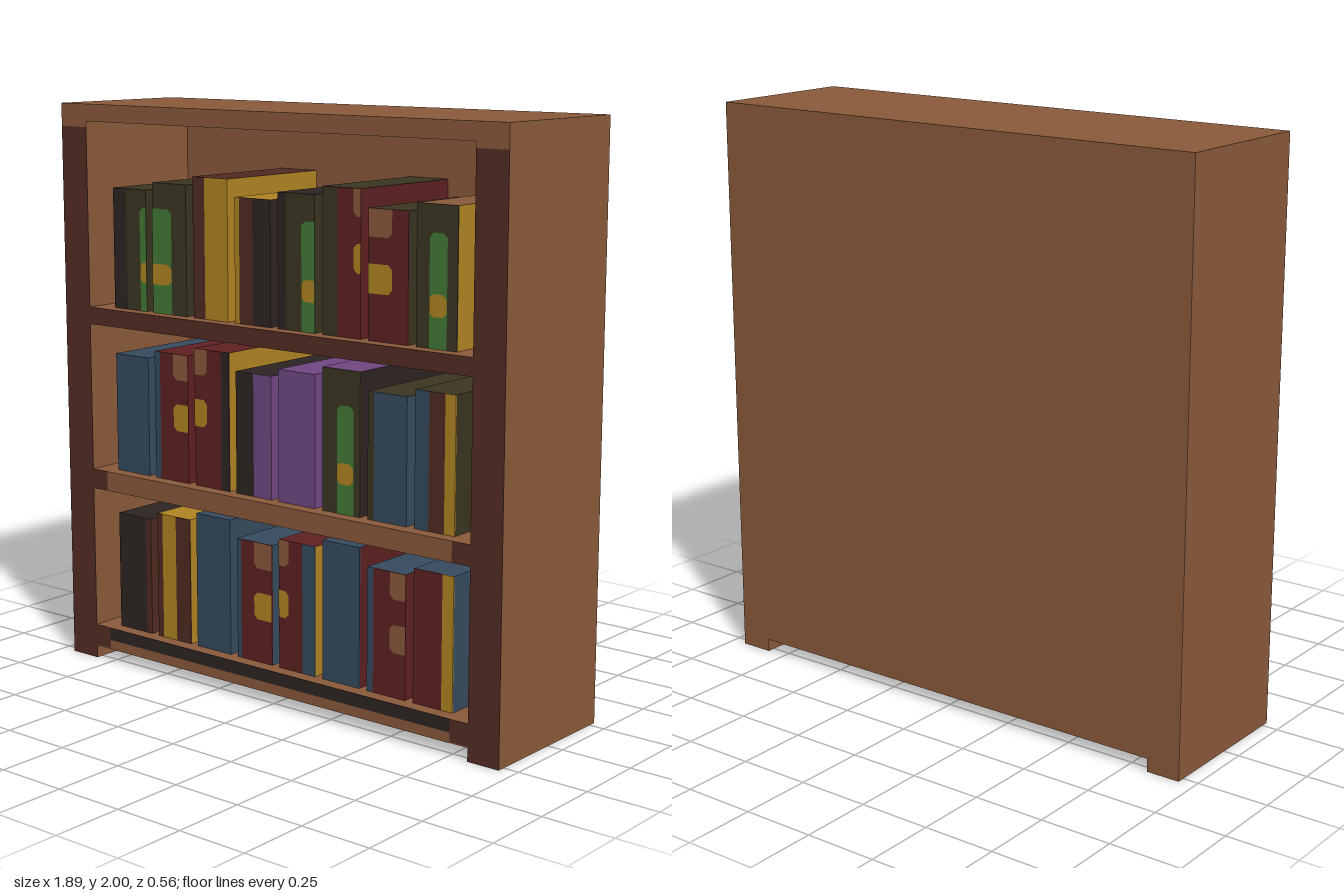
import * as THREE from 'three';

const paint = (name, color) => {
  const m = new THREE.MeshStandardMaterial({ color });
  m.name = name;
  return m;
};

export function createModel() {
  const M = {
    wood: paint('wood', 0x8b5a3b),
    dark: paint('dark wood', 0x552c25),
    brown: paint('brown leather', 0x4f2b22),
    black: paint('black leather', 0x2d2422),
    olive: paint('olive cloth', 0x3a3521),
    green: paint('green leaf', 0x447a36),
    gold: paint('gold', 0xb08422),
    red: paint('red leather', 0x5e2022),
    blue: paint('blue cloth', 0x364a5e),
    purple: paint('purple cloth', 0x714783),
  };
  const model = new THREE.Group();
  model.name = 'bookcase';

  // Box given by its lower and upper limits on each axis
  const box = (parent, name, mat, x0, x1, y0, y1, z0, z1) => {
    const mesh = new THREE.Mesh(new THREE.BoxGeometry(x1 - x0, y1 - y0, z1 - z0), mat);
    mesh.position.set((x0 + x1) / 2, (y0 + y1) / 2, (z0 + z1) / 2);
    mesh.name = name;
    parent.add(mesh);
    return mesh;
  };

  const W = 0.945, IN = 0.825, D = 0.278, FACE = 0.276, BACK = -0.235;

  // Case
  const frame = new THREE.Group();
  frame.name = 'case';
  model.add(frame);
  box(frame, 'top', M.wood, -IN, IN, 1.94, 2, -D, D);
  box(frame, 'backPanel', M.wood, -IN, IN, 0.045, 1.94, -D, BACK);
  box(frame, 'upperShelf', M.wood, -IN, IN, 1.23, 1.29, BACK, FACE);
  box(frame, 'lowerShelf', M.wood, -IN, IN, 0.635, 0.705, BACK, FACE);
  box(frame, 'bottomShelf', M.wood, -IN, IN, 0.045, 0.125, BACK, FACE);
  for (const s of [-1, 1]) {
    const span = (a, b) => (s > 0 ? [a, b] : [-b, -a]);
    box(frame, 'side', M.wood, ...span(IN, W), 0, 2, -D, FACE);
    box(frame, 'postFront', M.dark, ...span(IN, W), 0, 1.92, FACE, D);
    box(frame, 'postCap', M.wood, ...span(IN, W), 1.92, 2, FACE, D);
    box(frame, 'lowerShelfEnd', M.dark, ...span(0.755, IN), 0.635, 0.705, FACE, D);
    box(frame, 'bottomShelfEnd', M.dark, ...span(0.755, IN), 0.05, 0.125, FACE, D);
  }
  box(frame, 'upperShelfFront', M.dark, -IN, IN, 1.23, 1.29, FACE, D);
  box(frame, 'lowerShelfFront', M.wood, -0.755, 0.755, 0.635, 0.705, FACE, D);
  box(frame, 'bottomShelfBand', M.black, -0.755, 0.755, 0.08, 0.125, FACE, D);
  box(frame, 'bottomShelfFront', M.wood, -0.755, 0.755, 0.045, 0.08, FACE, D);

  // Books
  const BW = 0.157, PITCH = 0.1886, SPINE = 0.226;

  // Flat spine patch; corners are cut except where it meets the book's edge
  const patch = (parent, name, mat, f0, f1, y0, y1, cutLow, cutHigh, z) => {
    const x0 = f0 * BW, x1 = f1 * BW;
    const l = f0 > 0 ? 0.015 : 0, r = f1 < 1 ? 0.015 : 0;
    const lo = cutLow ? 1 : 0, hi = cutHigh ? 1 : 0;
    const shape = new THREE.Shape([
      [x0 + l * lo, y0], [x1 - r * lo, y0], [x1, y0 + r * lo], [x1, y1 - r * hi],
      [x1 - r * hi, y1], [x0 + l * hi, y1], [x0, y1 - l * hi], [x0, y0 + l * lo],
    ].map(([x, y]) => new THREE.Vector2(x, y)));
    const mesh = new THREE.Mesh(new THREE.ShapeGeometry(shape), mat);
    mesh.position.z = z;
    mesh.name = name;
    parent.add(mesh);
  };

  const addBook = (col, base, [stripes, top, side, motif, f0, f1]) => {
    const h = [0.422, 0.45, 0.48][col % 3];
    const book = new THREE.Group();
    book.name = 'book';
    book.position.set(-0.747 + col * PITCH, base, 0);
    model.add(book);
    const left = M[stripes[0][0]];
    box(book, 'bookBody', [M[side], left, M[top], left, left, left], 0, BW, 0, h, BACK, SPINE);
    let from = 0;
    for (const [color, to] of stripes) {
      box(book, 'spineStripe', M[color], from * BW, to * BW, 0, h, SPINE, SPINE + 0.004);
      from = to;
    }
    if (motif === 'leaf') {
      patch(book, 'leaf', M.green, f0, f1, 0, 0.362, false, true, SPINE + 0.006);
      patch(book, 'leafBand', M.gold, f0, f1, 0.1, 0.172, true, true, SPINE + 0.008);
    } else if (motif) {
      patch(book, 'spineNotch', M.wood, f0, f1, h - 0.09, h, true, false, SPINE + 0.006);
      patch(book, 'spineBadge', M[motif], f0, f1, h - 0.27, h - 0.175, true, true, SPINE + 0.006);
    }
  };

  // Each book: spine stripes (colour, end), top, right side, motif and its extent
  const upper = [
    [[['black', 0.4], ['olive', 1]], 'olive', 'olive', 'leaf', 0.82, 1],
    [[['olive', 1]], 'olive', 'olive', 'leaf', 0, 0.57],
    [[['brown', 0.34], ['gold', 1]], 'brown', 'gold'],
    [[['gold', 0.13], ['brown', 0.5], ['black', 1]], 'gold', 'black'],
    [[['black', 0.23], ['olive', 1]], 'black', 'olive', 'leaf', 0.65, 1],
    [[['olive', 0.4], ['red', 1]], 'olive', 'red', 'gold', 0.82, 1],
    [[['red', 1]], 'olive', 'olive', 'gold', 0, 0.6],
    [[['olive', 1]], 'wood', 'gold', 'leaf', 0.33, 0.76],
  ];
  const middle = [
    [[['blue', 1]], 'blue', 'blue'],
    [[['blue', 0.16], ['red', 1]], 'red', 'red', 'gold', 0.57, 1],
    [[['red', 0.77], ['black', 1]], 'red', 'gold', 'gold', 0, 0.37],
    [[['black', 0.5], ['purple', 1]], 'black', 'purple'],
    [[['purple', 1]], 'purple', 'purple'],
    [[['olive', 1]], 'purple', 'black', 'leaf', 0.4, 0.84],
    [[['olive', 0.16], ['blue', 1]], 'olive', 'blue'],
    [[['blue', 0.35], ['brown', 0.74], ['gold', 1]], 'olive', 'olive'],
  ];
  const lower = [
    [[['black', 0.84], ['brown', 1]], 'black', 'brown'],
    [[['brown', 0.16], ['gold', 0.57], ['brown', 1]], 'gold', 'gold'],
    [[['blue', 1]], 'blue', 'blue'],
    [[['blue', 0.12], ['red', 1]], 'blue', 'blue', 'gold', 0.5, 1],
    [[['red', 0.65], ['blue', 1]], 'red', 'gold', 'gold', 0, 0.28],
    [[['blue', 1]], 'blue', 'red'],
    [[['blue', 0.16], ['red', 1]], 'blue', 'red', 'wood', 0.6, 1],
    [[['red', 0.72], ['gold', 1]], 'blue', 'blue'],
  ];
  for (const [base, row] of [[1.29, upper], [0.705, middle], [0.125, lower]])
    row.forEach((spec, col) => addBook(col, base, spec));

  return model;
}
